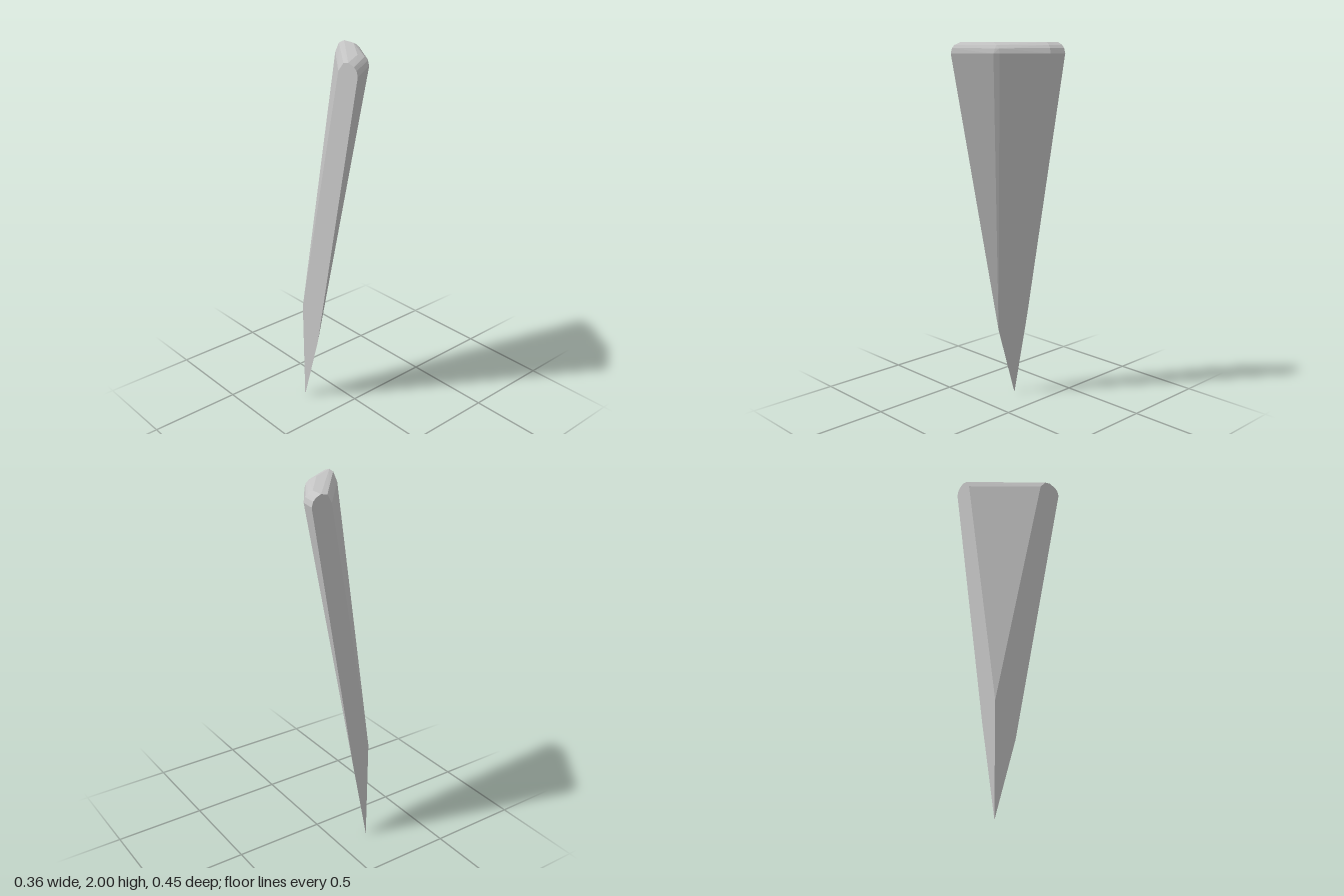
import * as THREE from 'three';
import { ConvexGeometry } from 'three/addons/geometries/ConvexGeometry.js';

export function createModel() {
  const model = new THREE.Group();
  const stone = new THREE.MeshStandardMaterial({ color: 0xc4c4c4 });
  stone.name = 'pale grey stone';

  const cutX = -0.182, cutZ = -0.226; // the two flat cut planes
  const corners = [
    // pointed foot, and the corner where the inner face begins
    [cutX, 0, cutZ], [cutX, 0.58, cutZ],
    // kinks where the tip tapers faster
    [cutX, 0.41, -0.1], [-0.08, 0.5, cutZ],
  ];

  // Rounded head: level outlines running from one cut plane to the other
  const rings = [
    [1.95, [[cutX, 0.09], [0.07, cutZ]]],
    [1.993, [[cutX, 0.126], [0.095, cutZ]]],
    [2.0, [[cutX, 0.16], [-0.04, 0.065], [0.125, -0.15], [0.13, cutZ]]],
    [1.987, [[cutX, 0.2], [-0.005, 0.077], [0.145, -0.143], [0.158, cutZ]]],
    [1.971, [[cutX, 0.217], [0, 0.092], [0.014, 0.078], [0.158, -0.138], [0.173, cutZ]]],
    [1.945, [[cutX, 0.225], [0, 0.103], [0.02, 0.08], [0.165, -0.135], [0.181, cutZ]]],
  ];
  for (const [y, outline] of rings) {
    for (const [x, z] of outline) corners.push([x, y, z]);
  }

  const shard = new THREE.Mesh(
    new ConvexGeometry(corners.map((p) => new THREE.Vector3(...p))), stone);
  shard.name = 'shard';
  model.add(shard);
  return model;
}
